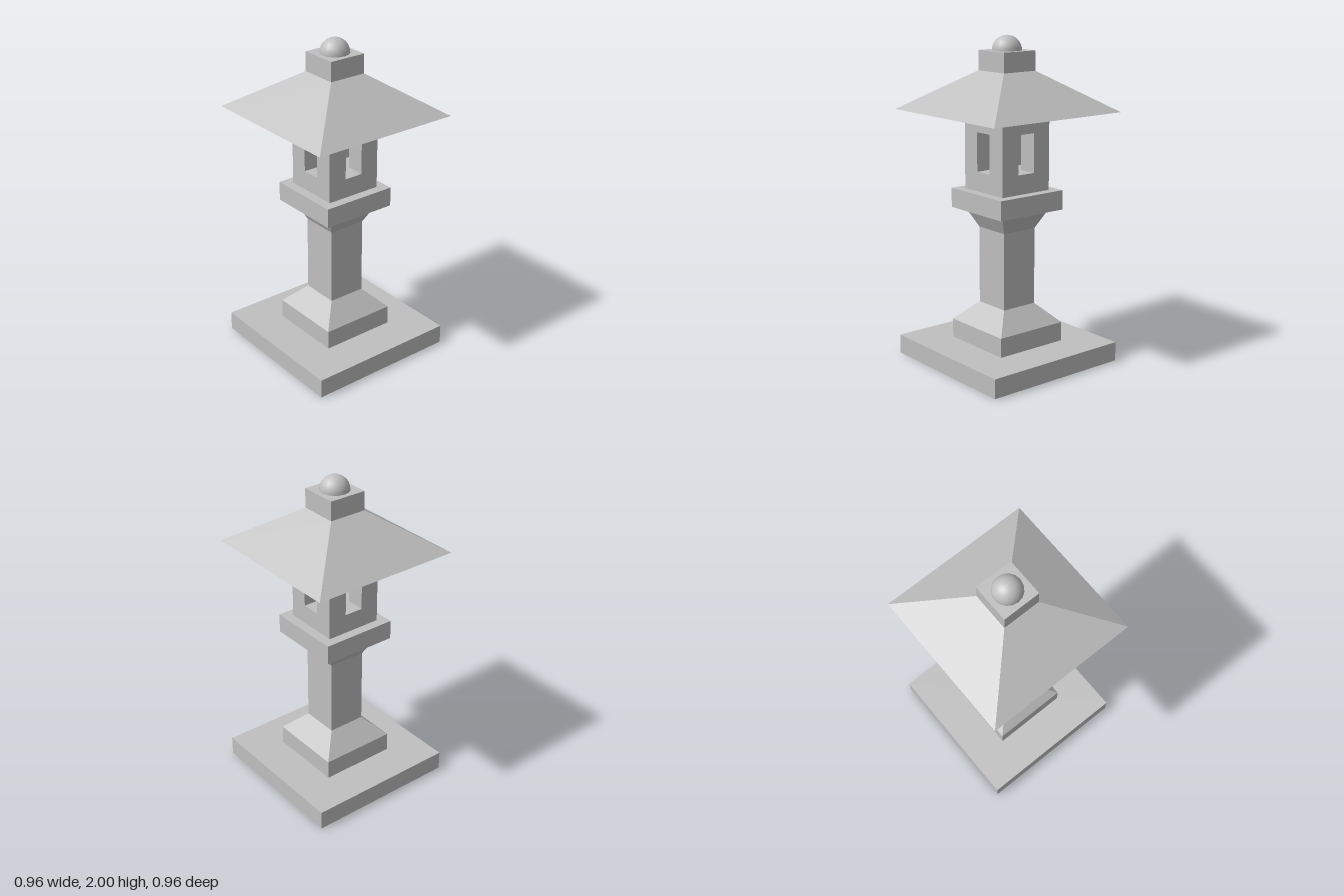
import * as THREE from 'three';

// One stone module: the whole lantern is 16.75 modules tall
const U = 2 / 16.75;

export function createModel() {
  const model = new THREE.Group();
  model.name = 'stoneLantern';
  const stone = new THREE.MeshStandardMaterial({ color: 0xc0c0c0 });
  stone.name = 'stone';

  function add(name, geometry, x, y, z, parent = model) {
    const mesh = new THREE.Mesh(geometry, stone);
    mesh.name = name;
    mesh.position.set(x * U, y * U, z * U);
    parent.add(mesh);
    return mesh;
  }

  // Square block, given by half width and its bottom and top heights
  function block(name, half, y0, y1, x = 0, z = 0, parent = model) {
    const geometry = new THREE.BoxGeometry(2 * half * U, (y1 - y0) * U, 2 * half * U);
    return add(name, geometry, x, (y0 + y1) / 2, z, parent);
  }

  // Square frustum with crisp faces
  function taper(name, halfBottom, halfTop, y0, y1) {
    const r = Math.SQRT2 * U;
    const geometry = new THREE.CylinderGeometry(halfTop * r, halfBottom * r, (y1 - y0) * U, 4)
      .rotateY(Math.PI / 4).toNonIndexed();
    geometry.computeVertexNormals();
    return add(name, geometry, 0, (y0 + y1) / 2, 0);
  }

  // Base and column
  block('basePlinth', 4, 0, 1);
  block('baseStep', 2, 1, 2);
  taper('columnFoot', 2, 1, 2, 3);
  block('column', 1, 3, 7);
  taper('columnCapital', 1, 1.5, 7, 8);
  block('platform', 2, 8, 9);

  // Light chamber: corner posts leave a window on every side
  const chamber = new THREE.Group();
  chamber.name = 'lightChamber';
  model.add(chamber);
  block('chamberSill', 1.5, 9, 10).name = 'chamberSill';
  for (const x of [-1, 1]) {
    for (const z of [-1, 1]) block('cornerPost', 0.5, 10, 12, x, z, chamber);
  }
  block('chamberLintel', 1.5, 12, 13, 0, 0, chamber);

  // Roof, cap and rounded finial
  taper('roof', 4, 1, 13, 15);
  block('roofCap', 1, 15, 16);
  const dome = new THREE.SphereGeometry(0.75 * U, 16, 8, 0, Math.PI * 2, 0, Math.PI / 2);
  add('finial', dome, 0, 16, 0);

  return model;
}
